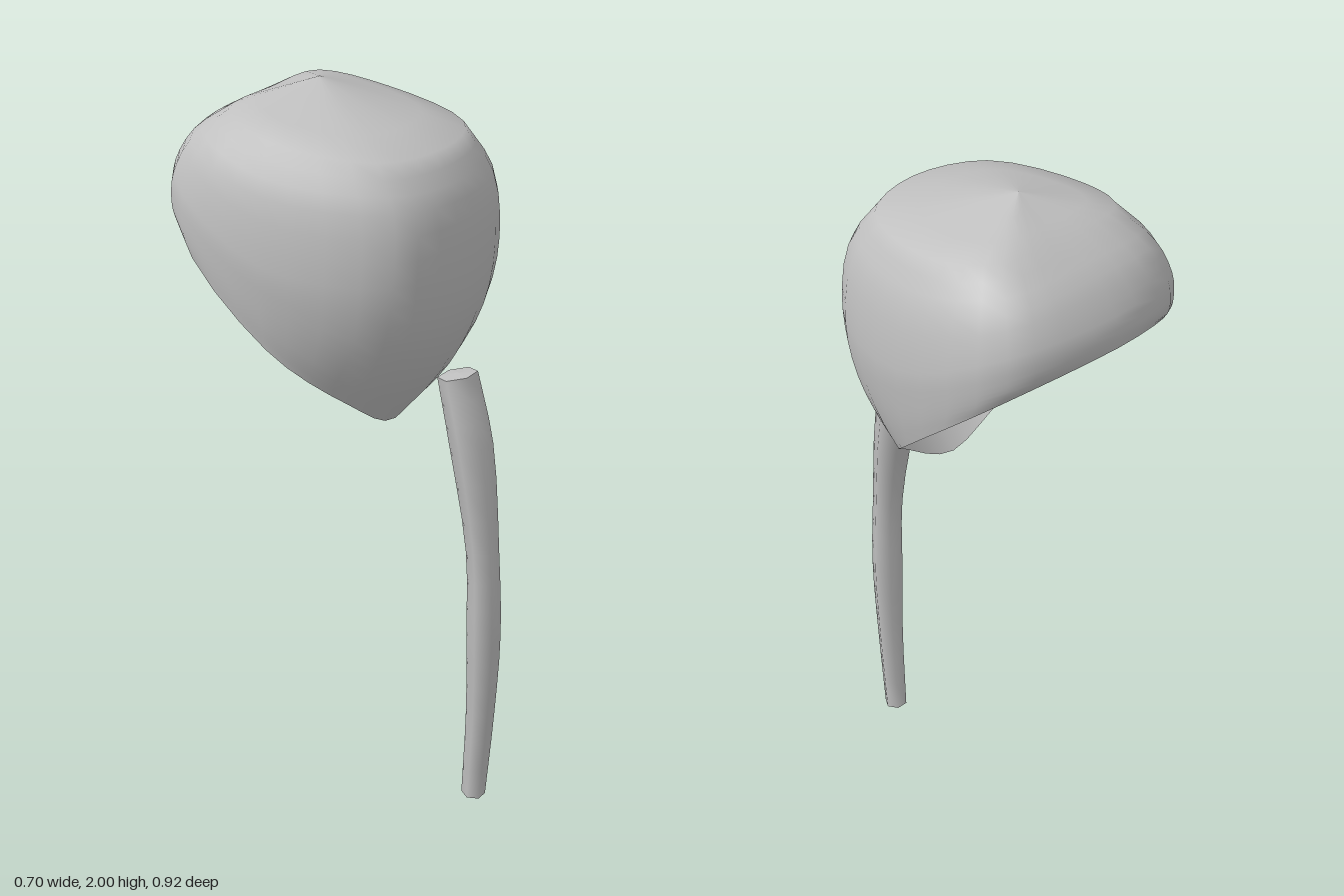
import * as THREE from 'three';

const V = (x, y, z) => new THREE.Vector3(x, y, z);

// Skin a list of closed rings, ordered top to bottom, each running from front towards +x
function loft(rings) {
  const n = rings[0].length, index = [];
  for (let r = 0; r < rings.length - 1; r++) {
    for (let i = 0; i < n; i++) {
      const j = (i + 1) % n;
      const a = r * n + i, b = r * n + j, c = a + n, d = b + n;
      index.push(a, c, d, a, d, b);
    }
  }
  const geometry = new THREE.BufferGeometry().setFromPoints(rings.flat());
  geometry.setIndex(index);
  geometry.computeVertexNormals();
  return geometry;
}

// Half sections of the hood: front, front corner, side, back corner, back
const HOOD = [
  [[0, 1.89, 0.27], [0.19, 1.89, 0.2], [0.26, 1.91, -0.08], [0.19, 1.94, -0.25], [0, 1.945, -0.26]],
  [[0, 1.78, 0.34], [0.22, 1.78, 0.27], [0.325, 1.79, -0.06], [0.25, 1.86, -0.33], [0, 1.88, -0.375]],
  [[0, 1.62, 0.36], [0.24, 1.6, 0.28], [0.35, 1.62, -0.05], [0.28, 1.77, -0.365], [0, 1.8, -0.44]],
  [[0, 1.45, 0.34], [0.23, 1.44, 0.25], [0.345, 1.53, -0.05], [0.285, 1.71, -0.37], [0, 1.76, -0.455]],
  [[0, 1.28, 0.265], [0.21, 1.31, 0.18], [0.335, 1.45, -0.05], [0.285, 1.67, -0.365], [0, 1.74, -0.456]],
  [[0, 1.11, 0.13], [0.19, 1.22, 0.11], [0.32, 1.38, -0.05], [0.29, 1.63, -0.34], [0, 1.72, -0.455]],
];

function hoodGeometry() {
  const around = 32, down = 15;
  const sections = HOOD.map((half) => {
    const points = half.map((p) => V(...p));
    const mirrored = half.slice(1, 4).reverse().map(([x, y, z]) => V(-x, y, z));
    const curve = new THREE.CatmullRomCurve3([...points, ...mirrored], true);
    return Array.from({ length: around }, (_, i) => curve.getPoint(i / around));
  });
  const meridians = sections[0].map((_, i) =>
    new THREE.CatmullRomCurve3(sections.map((s) => s[i])));
  const apex = V(0, 2, -0.11);
  const rings = [];
  // straight cone from the peak to the shoulder, then the curved wall to the rim
  for (const t of [0, 0.35, 0.7]) rings.push(sections[0].map((p) => apex.clone().lerp(p, t)));
  for (let k = 0; k <= down; k++) rings.push(meridians.map((m) => m.getPoint(k / down)));
  return loft(rings);
}

// Stem stations: height, depth, radius
const STEM = [
  [1.29, 0.32, 0.053], [1.1, 0.367, 0.057], [0.8, 0.41, 0.044],
  [0.55, 0.421, 0.046], [0.3, 0.418, 0.039], [0.02, 0.403, 0.033],
];

function stemRings() {
  const path = new THREE.CatmullRomCurve3(STEM.map(([y, z]) => V(0, y, z)));
  const radius = new THREE.CatmullRomCurve3(STEM.map(([y, , r]) => V(r, y, 0)));
  const steps = 15, rings = [];
  for (let k = 0; k <= steps; k++) {
    const t = k / steps, c = path.getPoint(t), tangent = path.getTangent(t);
    const r = radius.getPoint(t).x;
    const forward = V(0, tangent.z, -tangent.y);
    rings.push(Array.from({ length: 6 }, (_, i) => {
      const a = (i + 0.5) * Math.PI / 3;
      return c.clone().addScaledVector(forward, r * Math.cos(a)).add(V(r * Math.sin(a), 0, 0));
    }));
  }
  return rings;
}

export function createModel() {
  const model = new THREE.Group();
  const grey = new THREE.MeshStandardMaterial({ color: 0xbfbfbf, side: THREE.DoubleSide });
  grey.name = 'plain grey';
  const add = (name, geometry, parent) => {
    const mesh = new THREE.Mesh(geometry, grey);
    mesh.name = name;
    parent.add(mesh);
  };

  // Open hood
  add('hood', hoodGeometry(), model);

  // Bent six-sided stem with closed ends
  const stem = new THREE.Group();
  stem.name = 'stem';
  model.add(stem);
  const rings = stemRings(), top = rings[0], bottom = rings[rings.length - 1];
  add('stemShaft', loft(rings), stem);
  add('stemTop', loft([top.map(() => V(0, 1.295, 0.321)), top]), stem);
  add('stemFoot', loft([bottom, bottom.map(() => V(0, 0, 0.402))]), stem);
  return model;
}
